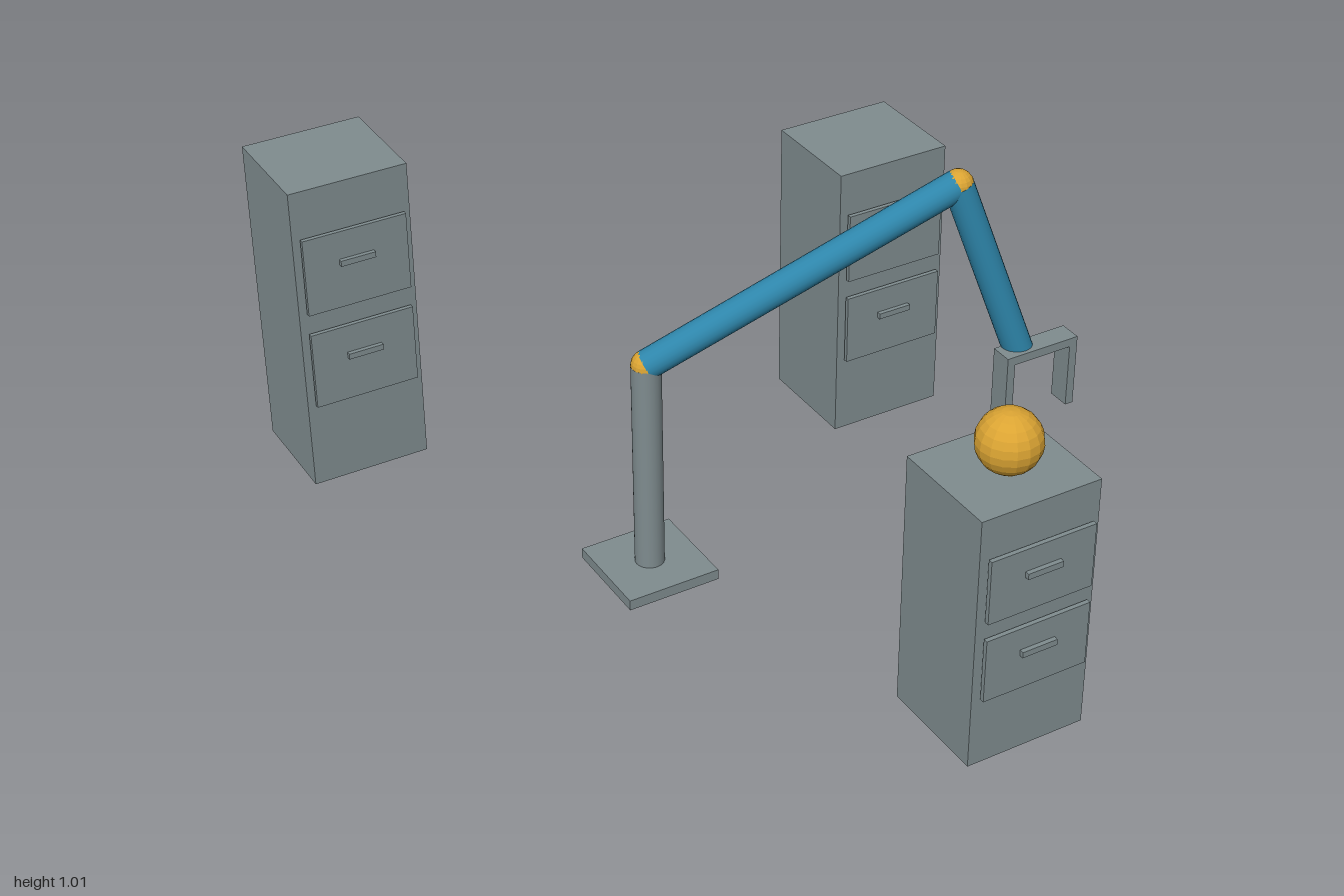
import * as THREE from 'three';

export function createModel() {
  const model = new THREE.Group();
  model.name = 'robotArmScene';

  const grey = new THREE.MeshStandardMaterial({ color: 0x7f8c8f });
  grey.name = 'grey metal';
  const blue = new THREE.MeshStandardMaterial({ color: 0x2e86ab });
  blue.name = 'blue arm';
  const gold = new THREE.MeshStandardMaterial({ color: 0xdba433, flatShading: true });
  gold.name = 'gold';

  const add = (parent, name, geometry, material, x, y, z) => {
    const mesh = new THREE.Mesh(geometry, material);
    mesh.name = name;
    mesh.position.set(x, y, z);
    parent.add(mesh);
    return mesh;
  };
  const box = (parent, name, w, h, d, x, y, z) =>
    add(parent, name, new THREE.BoxGeometry(w, h, d), grey, x, y, z);
  const ball = (name, r, p) =>
    add(model, name, new THREE.SphereGeometry(r, 16, 12), gold, p.x, p.y, p.z);

  // Cylinder between two points
  const link = (name, a, b, r, material) => {
    const dir = b.clone().sub(a);
    const mid = a.clone().add(b).multiplyScalar(0.5);
    const mesh = add(model, name, new THREE.CylinderGeometry(r, r, dir.length(), 20), material, mid.x, mid.y, mid.z);
    mesh.quaternion.setFromUnitVectors(new THREE.Vector3(0, 1, 0), dir.normalize());
  };

  // Two-drawer cabinet; drawers scale with its height
  const cabinet = (name, x, z, h) => {
    const group = new THREE.Group();
    group.name = name;
    group.position.set(x, 0, z);
    const depth = 0.276, front = depth / 2;
    box(group, 'cabinetBody', 0.304, h, depth, 0, h / 2, 0);
    for (const level of [0.408, 0.726]) {
      box(group, 'drawer', 0.268, h * 0.25, 0.011, 0, h * level, front + 0.0125);
      box(group, 'drawerHandle', 0.09, 0.015, 0.011, 0, h * (level + 0.026), front + 0.0235);
    }
    model.add(group);
  };
  cabinet('tallCabinet', -0.623, -0.862, 0.822);
  cabinet('shortCabinet', 0.167, 0.833, 0.652);
  cabinet('middleCabinet', 0.618, -0.412, 0.737);

  // Arm: base, column, two links and their joints
  const foot = new THREE.Vector3(-0.229, 0.02, 0);
  const shoulder = new THREE.Vector3(-0.229, 0.575, 0);
  const elbow = new THREE.Vector3(0.44, 0.97, 0.243);
  const wrist = new THREE.Vector3(0.597, 0.51, 0.298);
  box(model, 'base', 0.238, 0.027, 0.238, foot.x, 0.0135, 0);
  link('column', foot, shoulder, 0.036, grey);
  link('upperArm', shoulder, elbow, 0.036, blue);
  link('forearm', elbow, wrist, 0.036, blue);
  ball('shoulderJoint', 0.036, shoulder);
  ball('elbowJoint', 0.036, elbow);

  // Gripper
  const gripper = new THREE.Group();
  gripper.name = 'gripper';
  gripper.position.set(0.634, 0, 0.314);
  box(gripper, 'gripperBar', 0.198, 0.022, 0.056, 0, 0.518, 0);
  for (const side of [-1, 1]) {
    box(gripper, 'gripperFinger', 0.021, 0.17, 0.056, side * 0.0885, 0.43, 0);
  }
  model.add(gripper);

  // Loose balls
  ball('cabinetBall', 0.075, new THREE.Vector3(0.167, 0.728, 0.846));
  ball('floorBall', 0.075, new THREE.Vector3(0.632, 0.078, 0.314));

  return model;
}
